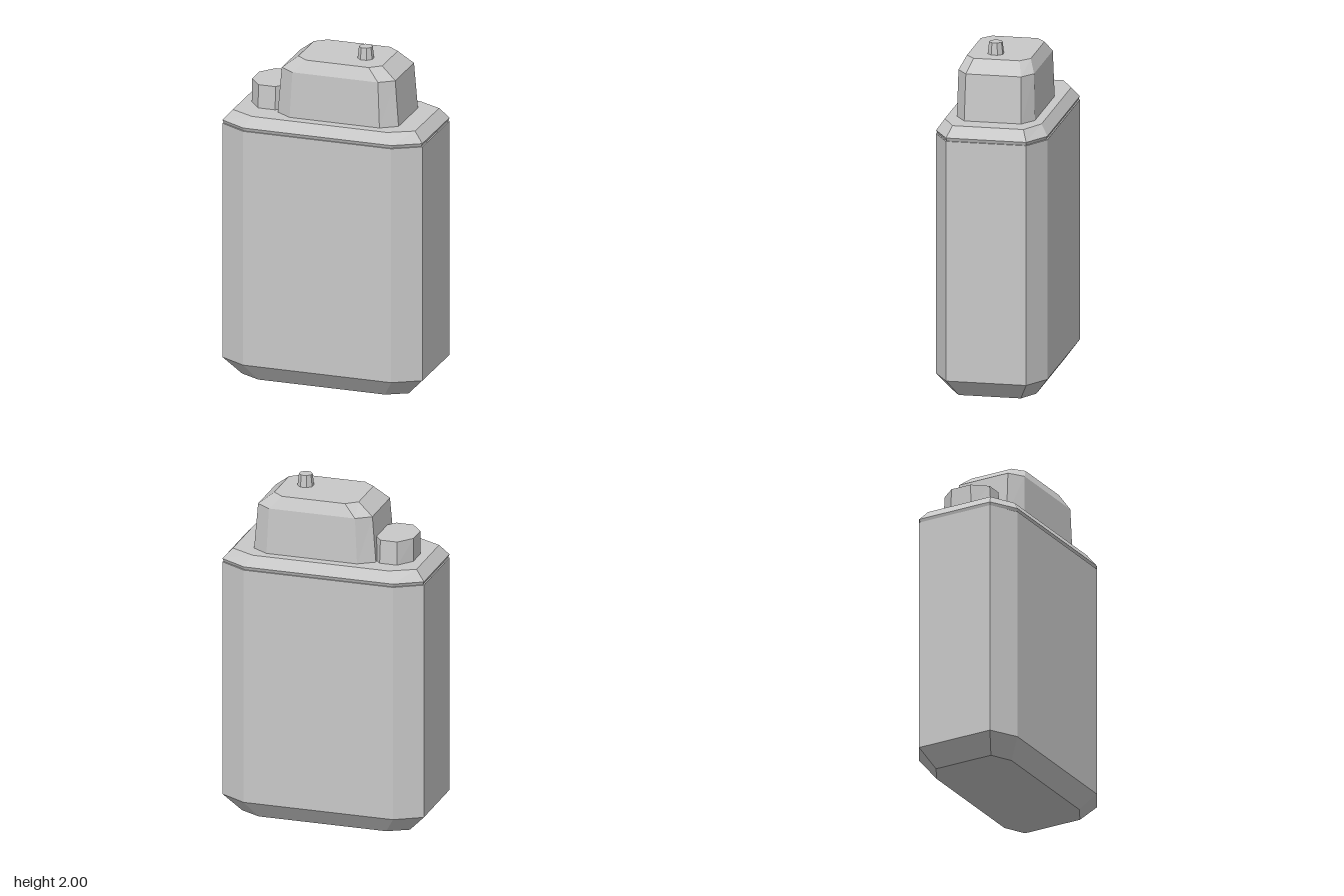
import * as THREE from 'three';

// Eight-cornered outline: outer limits x0..x1, z0..z1; flat edge spans fx0..fx1, fz0..fz1
function ring(y, [x0, x1, z0, z1], [fx0, fx1, fz0, fz1]) {
  return [
    [x1, fz1], [x1, fz0], [fx1, z0], [fx0, z0],
    [x0, fz0], [x0, fz1], [fx0, z1], [fx1, z1],
  ].map(([x, z]) => [x, y, z]);
}

// Outline centred on (cx, cz) with half sizes and half flat lengths
function evenRing(y, hx, hz, fx, fz, cx = 0, cz = 0) {
  return ring(y, [cx - hx, cx + hx, cz - hz, cz + hz], [cx - fx, cx + fx, cz - fz, cz + fz]);
}

// Closed flat-faced solid through rings listed bottom to top
function loft(rings) {
  const pos = [];
  const tri = (...pts) => pts.forEach((p) => pos.push(...p));
  for (let r = 0; r < rings.length - 1; r++) {
    const a = rings[r], b = rings[r + 1];
    for (let i = 0; i < 8; i++) {
      const j = (i + 1) % 8;
      tri(a[i], a[j], b[j]);
      tri(a[i], b[j], b[i]);
    }
  }
  const bottom = rings[0], top = rings[rings.length - 1];
  for (let i = 1; i < 7; i++) {
    tri(bottom[0], bottom[i + 1], bottom[i]);
    tri(top[0], top[i], top[i + 1]);
  }
  const geometry = new THREE.BufferGeometry();
  geometry.setAttribute('position', new THREE.Float32BufferAttribute(pos, 3));
  geometry.computeVertexNormals();
  return geometry;
}

export function createModel() {
  const group = new THREE.Group();
  group.name = 'canister';
  const grey = new THREE.MeshStandardMaterial({ color: 0xc8c8c8, flatShading: true });
  grey.name = 'lightGrey';

  const add = (name, rings) => {
    const mesh = new THREE.Mesh(loft(rings), grey);
    mesh.name = name;
    group.add(mesh);
  };

  // Main case with bevelled foot
  add('body', [
    evenRing(0, 0.5, 0.245, 0.38, 0.18),
    evenRing(0.105, 0.6, 0.322, 0.445, 0.232),
    evenRing(1.51, 0.6, 0.322, 0.445, 0.232),
  ]);

  // Bevelled lid, slightly undercut at the seam
  add('lid', [
    evenRing(1.51, 0.592, 0.314, 0.44, 0.228),
    evenRing(1.53, 0.6, 0.322, 0.445, 0.232),
    evenRing(1.59, 0.547, 0.28, 0.405, 0.205),
  ]);

  // Tapered upper housing
  add('upperHousing', [
    ring(1.585, [-0.293, 0.433, -0.228, 0.224], [-0.2, 0.34, -0.168, 0.162]),
    ring(1.86, [-0.27, 0.411, -0.22, 0.217], [-0.185, 0.328, -0.162, 0.157]),
    ring(1.93, [-0.18, 0.323, -0.187, 0.182], [-0.115, 0.26, -0.135, 0.13]),
  ]);

  // Side block beside the housing
  add('sideBlock', [
    evenRing(1.585, 0.12, 0.155, 0.052, 0.067, -0.37, -0.022),
    evenRing(1.727, 0.12, 0.147, 0.05, 0.062, -0.37, -0.022),
  ]);

  // Small knob on top
  add('knob', [
    evenRing(1.925, 0.044, 0.044, 0.018, 0.018, 0.19, 0.03),
    evenRing(2, 0.036, 0.036, 0.015, 0.015, 0.19, 0.03),
  ]);

  return group;
}
